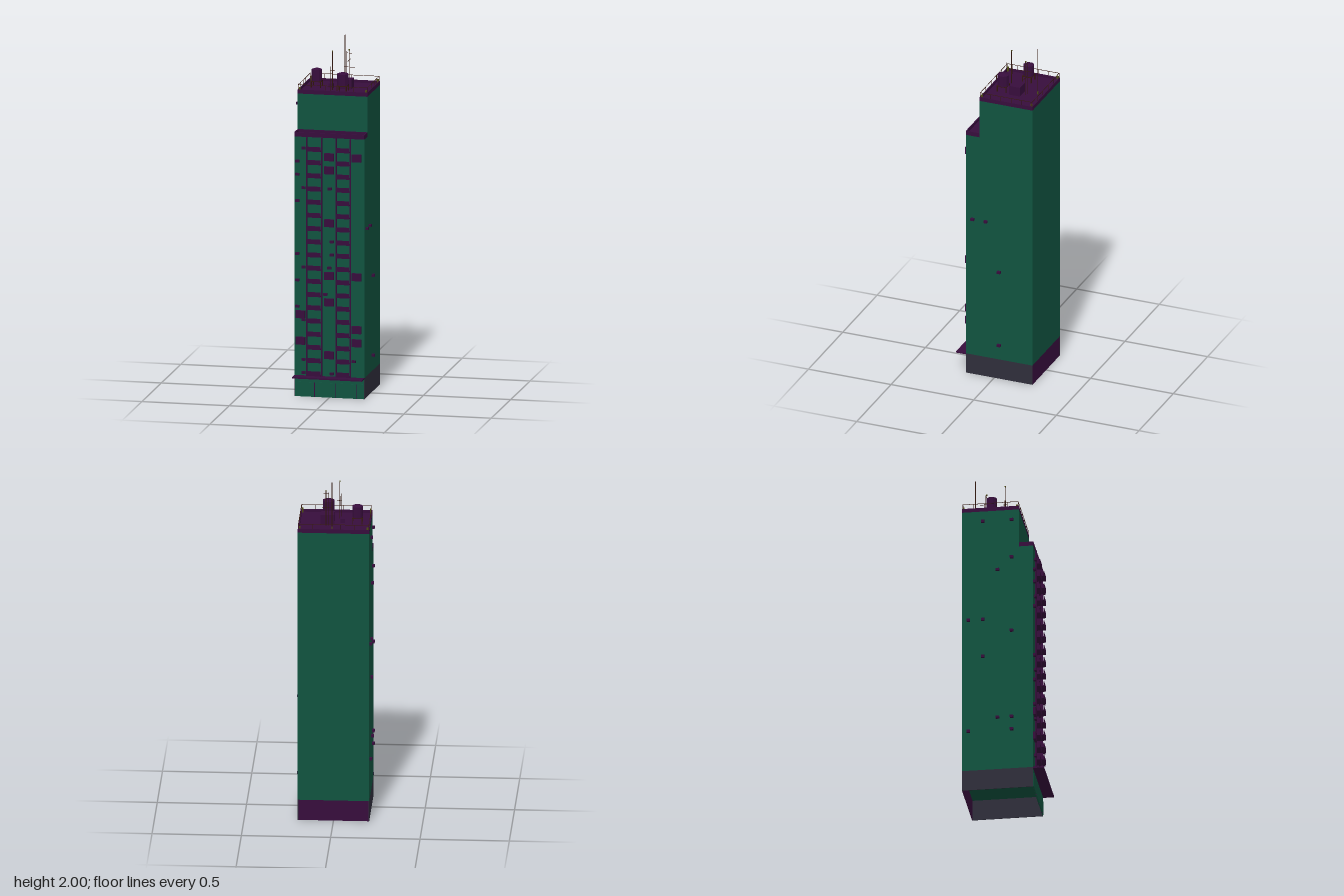
import * as THREE from 'three';

const mat = (name, color, side = THREE.FrontSide) => {
  const m = new THREE.MeshStandardMaterial({ color, side });
  m.name = name;
  return m;
};

export function createModel() {
  const green = mat('wall green', 0x10533f);
  const purple = mat('trim purple', 0x370d3c);
  const grey = mat('base grey', 0x2f2e3b);
  const olive = mat('post olive', 0x4c4a14);
  const brown = mat('metal brown', 0x34180f);
  const model = new THREE.Group();
  model.name = 'towerBlock';

  const group = (name) => {
    const g = new THREE.Group();
    g.name = name;
    model.add(g);
    return g;
  };
  // box given by its minimum and maximum corners
  const box = (parent, name, m, x0, x1, y0, y1, z0, z1) => {
    const mesh = new THREE.Mesh(new THREE.BoxGeometry(x1 - x0, y1 - y0, z1 - z0), m);
    mesh.position.set((x0 + x1) / 2, (y0 + y1) / 2, (z0 + z1) / 2);
    mesh.name = name;
    parent.add(mesh);
    return mesh;
  };
  // box given by its centre and size
  const block = (parent, name, m, x, y, z, w, h, d) =>
    box(parent, name, m, x - w / 2, x + w / 2, y - h / 2, y + h / 2, z - d / 2, z + d / 2);

  const W = 0.2, BACK = -0.231, FRONT = 0.17, STEP = 0.09;
  const BASE = 0.12, LOW = 1.485, TOP = 1.713;

  // tower body with a stepped front, extruded from its side profile
  const profile = new THREE.Shape([
    [BACK, BASE], [FRONT, BASE], [FRONT, LOW], [STEP, LOW], [STEP, TOP], [BACK, TOP],
  ].map(([z, y]) => new THREE.Vector2(-z, y)));
  const bodyGeo = new THREE.ExtrudeGeometry(profile, { depth: 2 * W, bevelEnabled: false });
  bodyGeo.rotateY(Math.PI / 2).translate(-W, 0, 0);
  const body = new THREE.Mesh(bodyGeo, green);
  body.name = 'towerBody';
  model.add(body);

  // hollow ground floor, open below
  const base = group('groundFloor');
  const T = 0.003;
  for (const s of [-1, 1]) block(base, 'sideWall', grey, s * (W - T / 2), BASE / 2, (BACK + FRONT) / 2, T, BASE, FRONT - BACK);
  box(base, 'backWall', purple, -W + T, W - T, 0, BASE, BACK, BACK + T);
  box(base, 'shopFront', green, -W + T, W - T, 0, BASE, FRONT - T, FRONT);
  for (const [x0, x1] of [[-0.197, -0.088], [-0.081, 0.032], [0.04, 0.153], [0.161, 0.192]])
    box(base, 'shopWindow', green, x0, x1, 0.004, 0.083, FRONT, FRONT + 0.003);
  for (const x of [-0.0845, 0.036, 0.157]) box(base, 'mullion', purple, x - 0.0018, x + 0.0018, 0, 0.083, FRONT - 0.005, FRONT + 0.002);
  box(base, 'canopy', purple, -W, W, 0.113, 0.121, FRONT, 0.231);

  // parapets: a flat roof sheet with a raised rim
  const parapet = (name, y0, y1, z0, z1) => {
    const g = group(name), t = 0.006;
    box(g, 'roofSheet', purple, -W + t, W - t, y0, y0 + 0.008, z0 + t, z1 - t);
    for (const s of [-1, 1]) block(g, 'sideRim', purple, s * (W - t / 2), (y0 + y1) / 2, (z0 + z1) / 2, t, y1 - y0, z1 - z0);
    box(g, 'backRim', purple, -W + t, W - t, y0, y1, z0, z0 + t);
    box(g, 'frontRim', purple, -W + t, W - t, y0, y1, z1 - t, z1);
  };
  parapet('terraceParapet', LOW, 1.51, STEP, FRONT + 0.002);
  parapet('roofParapet', TOP, 1.736, BACK, STEP);

  // facade: pipes, balconies and boxes on a regular floor grid
  const facade = group('facade');
  const floorY = (i) => 0.138 + i * 0.0755;
  for (const x of [-0.128, -0.042, 0.04, 0.122]) box(facade, 'verticalFin', purple, x - 0.003, x + 0.003, BASE, LOW, FRONT, 0.181);
  for (let i = 0; i < 18; i++) {
    for (const x of [-0.083, 0.079]) {
      const y = floorY(i);
      block(facade, 'balconySlab', purple, x, y - 0.011, 0.184, 0.077, 0.005, 0.028);
      block(facade, 'balconyFront', purple, x, y, 0.197, 0.077, 0.027, 0.003);
    }
  }
  // enclosed bays: [x, floor]
  for (const [x, f] of [[0, 17], [0.157, 17], [0, 16], [0, 12], [0, 8], [0.157, 8], [0, 6],
    [-0.165, 5], [0.157, 4], [-0.165, 3], [0.157, 3], [0, 2]])
    block(facade, 'bay', purple, x, floorY(f) - 0.045, 0.177, 0.054, 0.043, 0.014);
  // small air conditioners: [x, floor]
  for (const [x, f] of [[-0.147, 17], [-0.182, 16], [-0.182, 15], [-0.147, 14], [0.003, 14], [-0.182, 13],
    [0.015, 10], [-0.182, 9], [0.015, 9], [-0.147, 8], [0, 8], [-0.182, 7], [-0.022, 6], [-0.182, 5],
    [-0.147, 4], [-0.147, 1], [0.14, 1], [-0.147, 0], [0.015, 0]])
    block(facade, 'frontAirConditioner', purple, x, floorY(f), 0.1765, 0.022, 0.014, 0.013);

  // side air conditioners: [side, y, z]
  const units = group('sideAirConditioners');
  for (const [s, y, z] of [[1, 0.968, 0.13], [1, 0.968, 0.05], [1, 0.667, -0.03], [1, 0.21, -0.03],
    [-1, 1.65, 0.05], [-1, 1.65, -0.113], [-1, 1.42, 0.05], [-1, 1.347, -0.03], [-1, 1.045, -0.113],
    [-1, 1.045, -0.194], [-1, 0.968, 0.05], [-1, 0.817, -0.113], [-1, 0.437, 0.05], [-1, 0.437, -0.03],
    [-1, 0.36, 0.05], [-1, 0.36, -0.194]])
    block(units, 'airConditioner', purple, s * 0.207, y, z, 0.015, 0.014, 0.019);

  // roof railing with corner posts
  const rail = group('roofRailing');
  const rx = 0.197, z0 = BACK + 0.004, z1 = STEP - 0.004, r = 0.0022;
  for (const s of [-1, 1]) block(rail, 'sideRail', brown, s * rx, 1.763, (z0 + z1) / 2, r, r, z1 - z0);
  for (const z of [z0, z1]) block(rail, 'crossRail', brown, 0, 1.763, z, 2 * rx, r, r);
  for (let i = 0; i <= 5; i++) {
    const t = i / 5;
    for (const z of [z0, z1]) block(rail, 'railPost', brown, -rx + 2 * rx * t, 1.748, z, r, 0.03, r);
    if (i > 0 && i < 5) for (const s of [-1, 1]) block(rail, 'railPost', brown, s * rx, 1.748, z0 + (z1 - z0) * t, r, 0.03, r);
  }
  for (const s of [-1, 1]) for (const z of [-0.222, 0.079]) block(rail, 'cornerPost', olive, s * 0.19, 1.734, z, 0.009, 0.027, 0.009);

  // water tanks on legged stands
  const tank = (x, z, rad) => {
    const g = group('waterTank');
    const drum = new THREE.Mesh(new THREE.LatheGeometry([[0, 0], [rad, 0], [rad, 0.064], [0, 0.074]]
      .map(([a, b]) => new THREE.Vector2(a, b)), 10), purple.clone());
    drum.geometry = drum.geometry.toNonIndexed();
    drum.geometry.computeVertexNormals();
    drum.material = purple;
    drum.position.set(x, 1.757, z);
    drum.name = 'drum';
    g.add(drum);
    block(g, 'standTop', brown, x, 1.755, z, 0.058, 0.004, 0.058);
    for (const a of [-1, 1]) for (const b of [-1, 1])
      block(g, 'standLeg', brown, x + a * 0.026, 1.737, z + b * 0.026, 0.005, 0.034, 0.005);
  };
  tank(-0.126, -0.073, 0.03);
  tank(0.041, 0.011, 0.033);

  // rooftop housings
  const housing = group('roofHousings');
  box(housing, 'stairHousing', purple, 0.003, 0.079, TOP, 1.775, -0.105, -0.04);
  box(housing, 'ventBox', purple, -0.056, -0.03, TOP, 1.745, -0.081, -0.063);

  // antennas
  const masts = group('antennas');
  const mast = (x, z, top, rad) => {
    const m = new THREE.Mesh(new THREE.CylinderGeometry(rad, rad, top - TOP, 6), brown);
    m.position.set(x, (top + TOP) / 2, z);
    m.name = 'mast';
    masts.add(m);
  };
  mast(0.011, -0.185, 2, 0.0025);
  block(masts, 'mastFoot', olive, 0.011, 1.727, -0.185, 0.007, 0.02, 0.007);
  mast(0.048, -0.127, 1.93, 0.002);
  block(masts, 'mastTip', olive, 0.048, 1.929, -0.127, 0.006, 0.006, 0.006);
  for (const [y, w, d] of [[1.91, 0.03, 0.002], [1.87, 0.002, 0.075], [1.83, 0.063, 0.002]])
    block(masts, 'mastArm', brown, 0.048, y, -0.127, w, 0.002, d);
  mast(0.033, -0.131, 1.92, 0.0012);
  mast(-0.023, -0.012, 1.945, 0.002);
  block(masts, 'mastTip', olive, -0.023, 1.942, -0.012, 0.006, 0.006, 0.006);
  for (const [w, d] of [[0.026, 0.003], [0.003, 0.02]]) block(masts, 'mastArm', brown, -0.021, 1.83, -0.012, w, 0.003, d);
  block(masts, 'panelAntenna', brown, -0.023, 1.825, -0.012, 0.006, 0.06, 0.006);
  mast(-0.028, 0.018, 1.86, 0.0012);

  return model;
}
